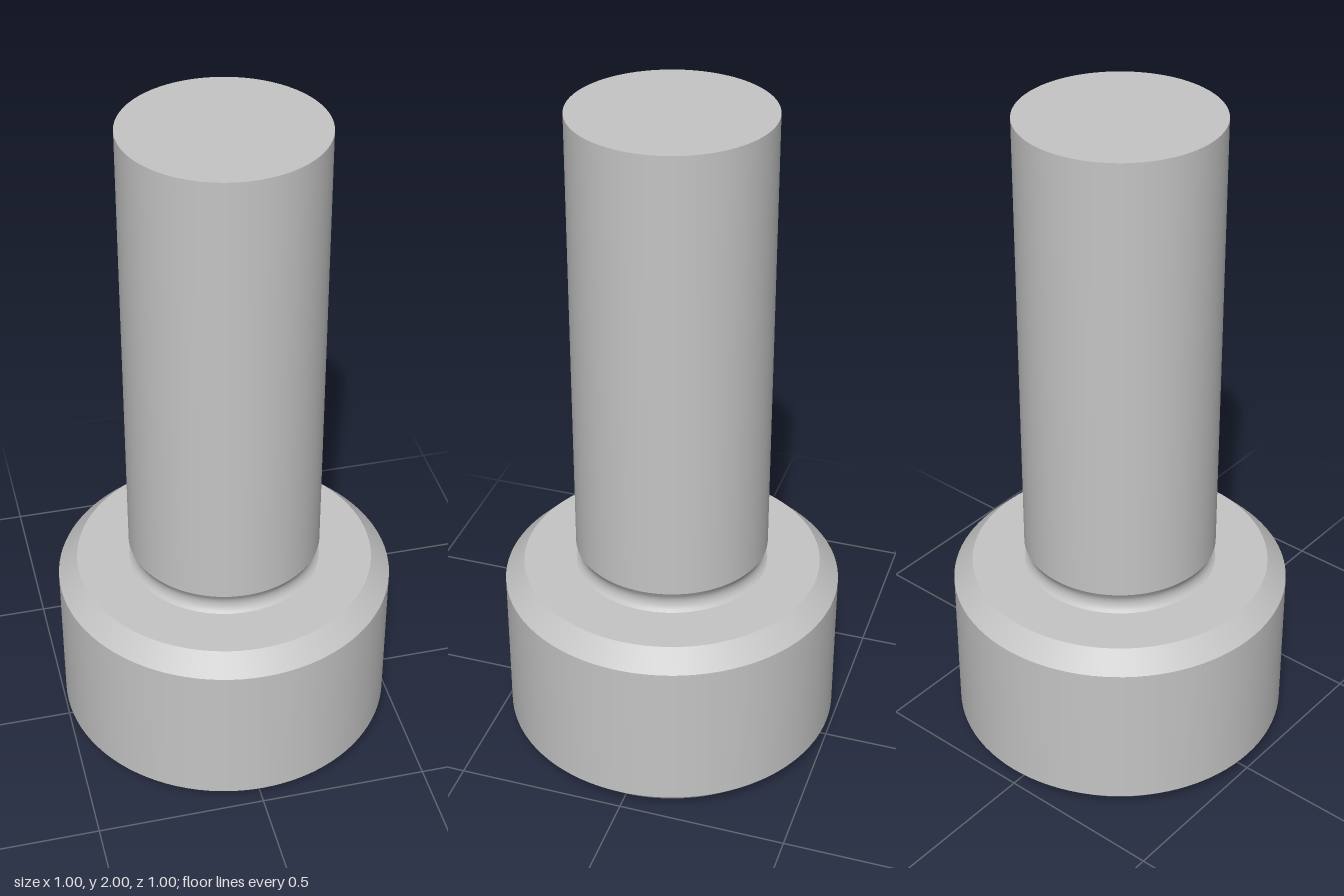
import * as THREE from 'three';
import { mergeGeometries } from 'three/addons/utils/BufferGeometryUtils.js';

const SEGMENTS = 96;
const HEAD_R = 0.5, HEAD_H = 0.572, CHAMFER = 0.057, SHANK_R = 0.286;
const SOCKET_R = 0.2474, SOCKET_DEPTH = 0.29;

// Turned surface from several profile runs; edges between runs stay sharp
function turned(...runs) {
  return mergeGeometries(runs.map((run) =>
    new THREE.LatheGeometry(run.map(([r, y]) => new THREE.Vector2(r, y)), SEGMENTS)));
}

export function createModel() {
  const steel = new THREE.MeshStandardMaterial({ color: 0xc4c4c4 });
  steel.name = 'steel grey';
  const group = new THREE.Group();
  group.name = 'socketHeadScrew';
  const add = (name, geometry) => {
    const mesh = new THREE.Mesh(geometry, steel);
    mesh.name = name;
    group.add(mesh);
  };

  // Head with a chamfer at both ends
  const rim = HEAD_R - CHAMFER;
  add('head', turned(
    [[rim, 0], [HEAD_R, CHAMFER]],
    [[HEAD_R, CHAMFER], [HEAD_R, HEAD_H - CHAMFER]],
    [[HEAD_R, HEAD_H - CHAMFER], [rim, HEAD_H]],
    [[rim, HEAD_H], [SHANK_R, HEAD_H]],
  ));

  // Undercut neck: fillet off the head, then a small flare to the shank
  add('neck', turned(
    [[SHANK_R, HEAD_H], [0.279, 0.578], [0.273, 0.588], [0.271, 0.6],
      [0.272, 0.611], [0.276, 0.622], [SHANK_R, 0.638]],
  ));

  // Plain shank with a flat end
  add('shank', turned(
    [[SHANK_R, 0.638], [SHANK_R, 2]],
    [[SHANK_R, 2], [0, 2]],
  ));

  // Head face with a hexagonal opening
  const face = new THREE.Shape().absarc(0, 0, rim, 0, Math.PI * 2);
  const corners = Array.from({ length: 6 }, (_, i) => {
    const a = Math.PI / 6 + i * Math.PI / 3;
    return new THREE.Vector2(SOCKET_R * Math.cos(a), SOCKET_R * Math.sin(a));
  });
  face.holes.push(new THREE.Path(corners));
  add('headFace', new THREE.ShapeGeometry(face, SEGMENTS).rotateX(Math.PI / 2));

  // Socket walls, mirrored so that they face inward
  const walls = new THREE.CylinderGeometry(SOCKET_R, SOCKET_R, SOCKET_DEPTH, 6, 1, true)
    .toNonIndexed().scale(-1, 1, 1).translate(0, SOCKET_DEPTH / 2, 0);
  walls.computeVertexNormals();
  add('socketWalls', walls);

  // Socket floor
  add('socketFloor', new THREE.CircleGeometry(SOCKET_R, 6)
    .rotateZ(Math.PI / 6).rotateX(Math.PI / 2).translate(0, SOCKET_DEPTH, 0));

  return group;
}
